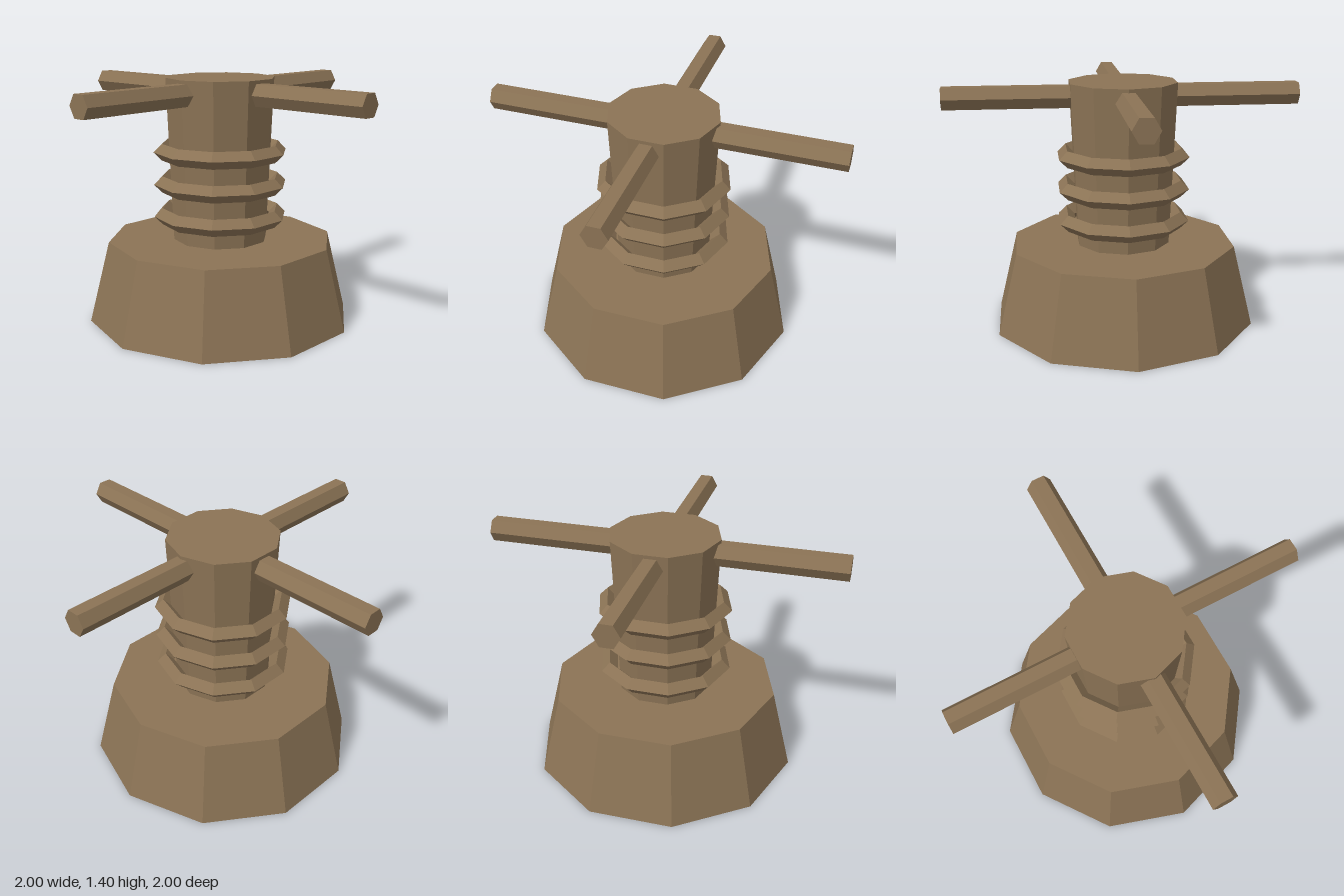
import * as THREE from 'three';

export function createModel() {
  const model = new THREE.Group();
  const tan = new THREE.MeshStandardMaterial({ color: 0x8b7355, flatShading: true });
  tan.name = 'tan';

  const SIDES = 10;
  const add = (name, geometry, y) => {
    const mesh = new THREE.Mesh(geometry, tan);
    mesh.name = name;
    mesh.position.y = y;
    model.add(mesh);
    return mesh;
  };
  // Ten-sided tapered drum with a corner on the x axis
  const drum = (top, bottom, height) =>
    new THREE.CylinderGeometry(top, bottom, height, SIDES, 1, false, Math.PI / 2);

  // Wide foot
  add('base', drum(0.65, 0.766, 0.467), 0.2335);

  // Column, slightly wider towards the top
  add('column', drum(0.312, 0.272, 0.93), 0.932);

  // Diamond-section thread rings
  [0.606, 0.793, 0.979].forEach((y, i) => {
    const ring = new THREE.TorusGeometry(0.337, 0.048, 4, SIDES);
    ring.rotateX(Math.PI / 2);
    add('threadRing' + (i + 1), ring, y);
  });

  // Four hexagonal handle bars reaching out of the column
  ['front', 'left', 'back', 'right'].forEach((side, i) => {
    const bar = new THREE.CylinderGeometry(0.07, 0.07, 0.8, 6, 1, false, Math.PI / 2);
    bar.rotateX(Math.PI / 2);
    bar.translate(0, 0, 0.6);
    bar.rotateY(i * Math.PI / 2);
    add(side + 'Handle', bar, 1.317);
  });

  return model;
}
